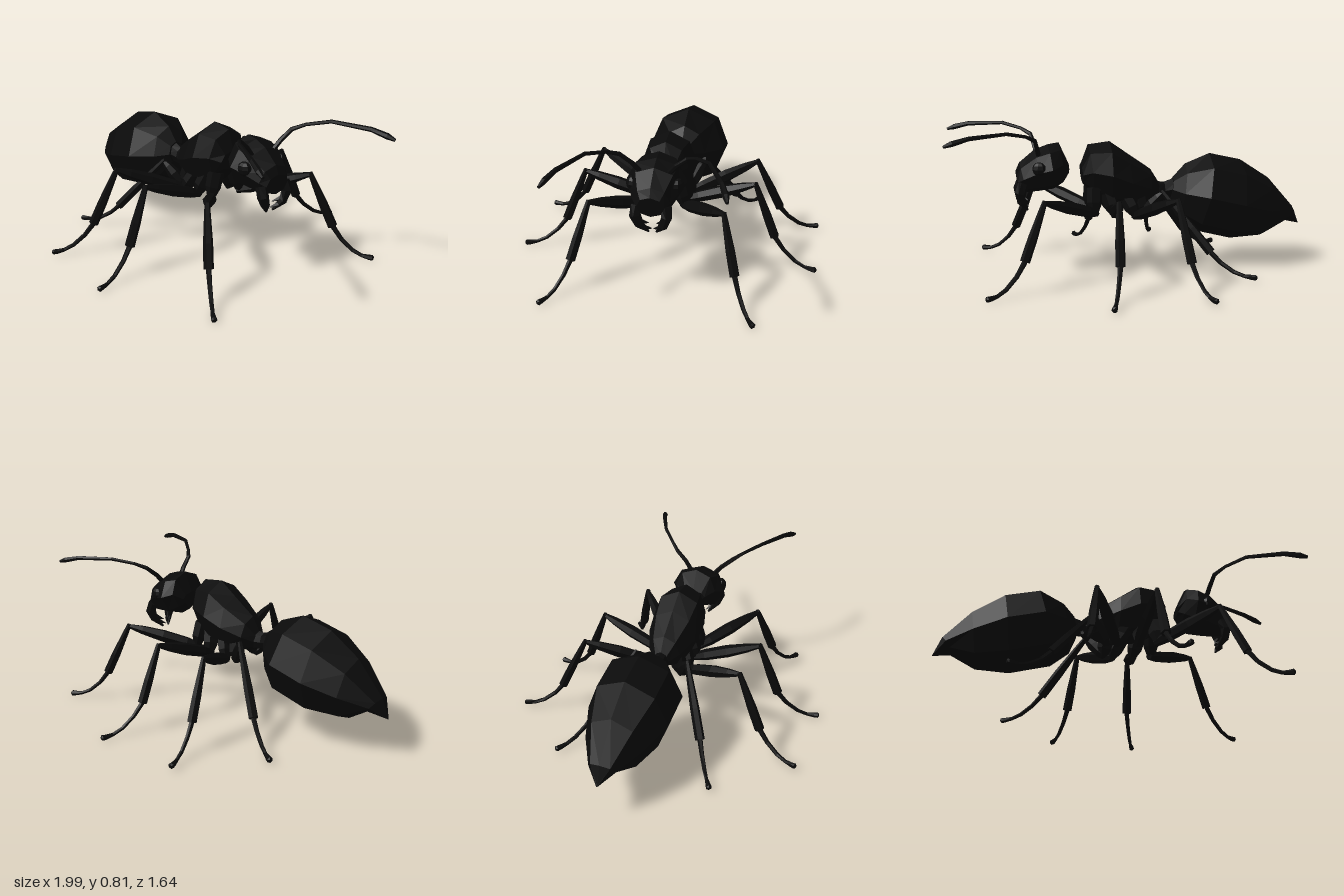
import * as THREE from 'three';

const V = (x, y, z) => new THREE.Vector3(x, y, z);
const material = new THREE.MeshStandardMaterial({ color: 0x0a0a0a, flatShading: true });

// Skin a list of rings (arrays of equal length, counter-clockwise about the path) and cap both ends
function skin(name, rings) {
  const n = rings[0].length, last = rings.length - 1;
  const pos = [], index = [];
  rings.forEach(r => r.forEach(p => pos.push(p.x, p.y, p.z)));
  for (let i = 0; i < last; i++) {
    for (let j = 0; j < n; j++) {
      const k = (j + 1) % n, a = i * n + j, b = i * n + k;
      index.push(a, b, a + n, b, b + n, a + n);
    }
  }
  for (let j = 1; j < n - 1; j++) {
    index.push(0, j + 1, j);
    index.push(last * n, last * n + j, last * n + j + 1);
  }
  const geo = new THREE.BufferGeometry();
  geo.setAttribute('position', new THREE.Float32BufferAttribute(pos, 3));
  geo.setIndex(index);
  geo.computeVertexNormals();
  const mesh = new THREE.Mesh(geo, material);
  mesh.name = name;
  return mesh;
}

function ring(c, u, v, n) {
  return Array.from({ length: n }, (_, j) => {
    const a = (j / n) * Math.PI * 2;
    return c.clone().addScaledVector(u, Math.cos(a)).addScaledVector(v, Math.sin(a));
  });
}

// Body segment along x; stations are [topX, topY, bottomX, bottomY, halfWidth]
function body(name, stations) {
  return skin(name, stations.map(([tx, ty, bx, by, w]) =>
    ring(V((tx + bx) / 2, (ty + by) / 2, 0), V((tx - bx) / 2, (ty - by) / 2, 0), V(0, 0, w), 8)));
}

// Round limb; stations are [x, y, z, radius], mirrored across z by side
function limb(name, stations, side, n = 6) {
  const pts = stations.map(([x, y, z]) => V(x, y, z * side));
  return skin(name, pts.map((p, i) => {
    const t = pts[Math.min(i + 1, pts.length - 1)].clone().sub(pts[Math.max(i - 1, 0)]).normalize();
    const u = V(-0.55, 0.2, 0.8 * side);
    u.addScaledVector(t, -u.dot(t)).normalize();
    const v = t.clone().cross(u), r = stations[i][3];
    return ring(p, u.multiplyScalar(r), v.multiplyScalar(r), n);
  }));
}

// Straight limb between two points; profile is [fraction, radius]
function bone(name, a, b, profile, side) {
  return limb(name, profile.map(([f, r]) =>
    [...a.map((c, i) => c + (b[i] - c) * f), r]), side);
}

// Joints of each leg: hip, coxa end, knee, ankle, foot tip
const LEGS = {
  frontLeg: [[0.2, 0.47, 0.06], [0.21, 0.34, 0.1], [0.5, 0.455, 0.35], [0.61, 0.17, 0.425], [0.81, 0.02, 0.545]],
  frontMiddleLeg: [[0.13, 0.44, 0.06], [0.1, 0.33, 0.11], [0.135, 0.46, 0.47], [0.15, 0.165, 0.585], [0.22, 0.02, 0.82]],
  rearMiddleLeg: [[0.03, 0.42, 0.06], [-0.02, 0.32, 0.11], [-0.175, 0.46, 0.45], [-0.215, 0.165, 0.585], [-0.285, 0.03, 0.81]],
  rearLeg: [[-0.05, 0.41, 0.05], [-0.07, 0.32, 0.08], [-0.16, 0.45, 0.15], [-0.39, 0.145, 0.31], [-0.61, 0.028, 0.44]],
};

function leg(name, [hip, coxa, knee, ankle, foot], side) {
  const g = new THREE.Group();
  g.name = name;
  g.add(bone('coxa', hip, coxa, [[0, 0.045], [0.6, 0.042], [1, 0.022]], side));
  g.add(bone('femur', coxa, knee, [[-0.05, 0.02], [0.15, 0.032], [0.5, 0.035], [0.8, 0.025], [1, 0.012]], side));
  g.add(bone('tibia', knee, ankle, [[-0.03, 0.013], [0.15, 0.017], [0.6, 0.025], [1, 0.026]], side));
  // Foot droops down from the ankle and then flattens out
  const at = (f, drop, r) => [
    ankle[0] + (foot[0] - ankle[0]) * f, ankle[1] + (foot[1] - ankle[1]) * drop,
    ankle[2] + (foot[2] - ankle[2]) * f, r];
  g.add(limb('tarsus', [at(0, 0, 0.014), at(0.22, 0.45, 0.012), at(0.5, 0.82, 0.011),
    at(0.72, 0.97, 0.01), at(0.88, 1, 0.014), at(0.97, 1, 0.016), at(1, 1, 0.008)], side));
  return g;
}

export function createModel() {
  const model = new THREE.Group();
  model.name = 'ant';

  model.add(body('abdomen', [
    [-0.995, 0.23, -1, 0.218, 0.005], [-0.96, 0.32, -0.9, 0.24, 0.075],
    [-0.81, 0.49, -0.77, 0.155, 0.155], [-0.64, 0.6, -0.59, 0.145, 0.22],
    [-0.46, 0.64, -0.37, 0.2, 0.22], [-0.32, 0.585, -0.27, 0.28, 0.125],
    [-0.25, 0.51, -0.23, 0.38, 0.055],
  ]));
  model.add(body('waist', [
    [-0.27, 0.51, -0.26, 0.39, 0.05], [-0.2, 0.485, -0.2, 0.39, 0.037],
    [-0.14, 0.49, -0.14, 0.38, 0.045],
  ]));
  model.add(body('thorax', [
    [-0.17, 0.48, -0.15, 0.39, 0.045], [-0.12, 0.56, -0.1, 0.36, 0.09],
    [0.01, 0.65, -0.01, 0.35, 0.135], [0.11, 0.72, 0.11, 0.37, 0.15],
    [0.23, 0.705, 0.2, 0.42, 0.12], [0.27, 0.6, 0.26, 0.49, 0.075],
  ]));
  model.add(body('head', [
    [0.34, 0.61, 0.34, 0.55, 0.07], [0.39, 0.72, 0.365, 0.5, 0.12],
    [0.45, 0.71, 0.42, 0.465, 0.155], [0.52, 0.685, 0.5, 0.455, 0.135],
    [0.605, 0.615, 0.57, 0.45, 0.095], [0.625, 0.57, 0.61, 0.46, 0.07],
  ]));

  for (const side of [1, -1]) {
    const hand = side > 0 ? 'front side' : 'back side';
    for (const [name, joints] of Object.entries(LEGS)) model.add(leg(`${name} ${hand}`, joints, side));

    model.add(limb(`antenna ${hand}`, [
      [0.5, 0.64, 0.06, 0.014], [0.515, 0.7, 0.11, 0.013], [0.53, 0.75, 0.17, 0.012],
      [0.58, 0.778, 0.22, 0.009], [0.68, 0.803, 0.3, 0.01], [0.87, 0.793, 0.385, 0.013],
      [0.95, 0.773, 0.413, 0.016], [0.99, 0.76, 0.425, 0.008],
    ], side));

    // Curved jaw with two small teeth
    model.add(limb(`mandible ${hand}`, [
      [0.585, 0.51, 0.075, 0.03], [0.605, 0.46, 0.08, 0.03],
      [0.6, 0.41, 0.06, 0.024], [0.565, 0.355, 0.02, 0.005],
    ], side));
    for (const [y, z] of [[0.42, 0.055], [0.39, 0.04]]) {
      model.add(limb(`tooth ${hand}`, [[0.59, y, z, 0.014], [0.56, y - 0.02, z - 0.035, 0.002]], side, 4));
    }

    const eye = new THREE.Mesh(new THREE.SphereGeometry(0.04, 8, 6), material);
    eye.name = `eye ${hand}`;
    eye.position.set(0.505, 0.59, 0.118 * side);
    eye.scale.set(1, 1, 0.7);
    eye.rotation.y = 0.4 * side;
    model.add(eye);
  }
  return model;
}
